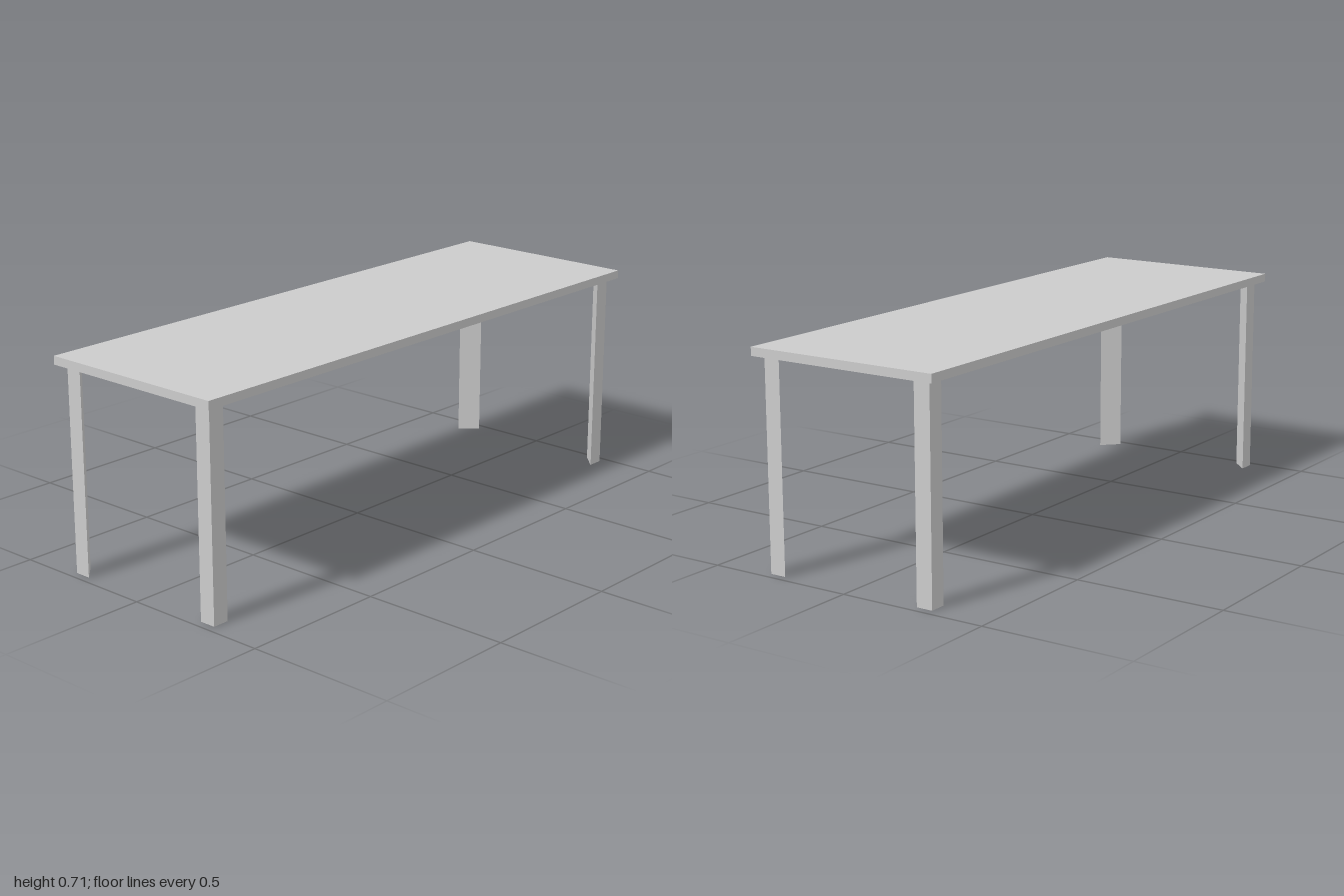
import * as THREE from 'three';

const WIDTH = 0.6667, LENGTH = 2, THICK = 0.0278; // table top
const LEG_H = 0.6806, LEG = 0.0556, INSET = 0.0278; // legs

const material = new THREE.MeshStandardMaterial({ color: 0xcccccc, flatShading: true });

// Triangular prism leg: right angle at the outer corner, sloping face towards the middle
function makeLeg(sx, sz) {
  const x = sx * (WIDTH / 2 - INSET);
  const z = sz * (LENGTH / 2 - INSET);
  const section = new THREE.Shape([
    new THREE.Vector2(x, -z),
    new THREE.Vector2(x - sx * LEG, -z),
    new THREE.Vector2(x, -z + sz * LEG),
  ]);
  const geometry = new THREE.ExtrudeGeometry(section, { depth: LEG_H, bevelEnabled: false });
  geometry.rotateX(-Math.PI / 2); // stand the prism upright
  const leg = new THREE.Mesh(geometry, material);
  leg.name = (sz > 0 ? 'front' : 'back') + (sx > 0 ? 'Left' : 'Right') + 'Leg';
  return leg;
}

export function createModel() {
  const table = new THREE.Group();
  table.name = 'table';

  // Flat rectangular top
  const top = new THREE.Mesh(new THREE.BoxGeometry(WIDTH, THICK, LENGTH), material);
  top.name = 'tableTop';
  top.position.y = LEG_H + THICK / 2;
  table.add(top);

  // One leg at each corner
  for (const sx of [-1, 1]) for (const sz of [-1, 1]) table.add(makeLeg(sx, sz));

  return table;
}
